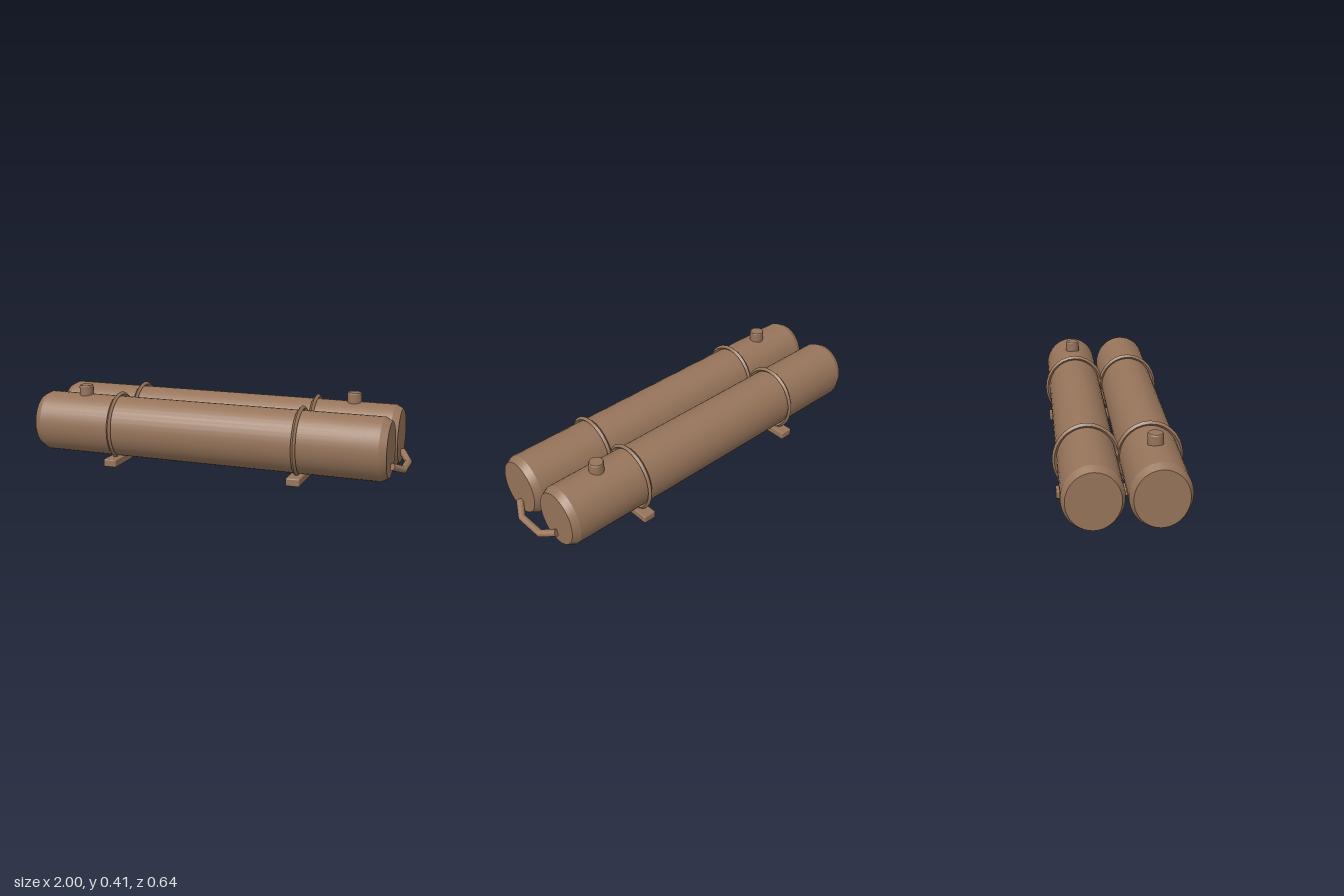
import * as THREE from 'three';
import { toCreasedNormals, mergeGeometries } from 'three/addons/utils/BufferGeometryUtils.js';
import { RoundedBoxGeometry } from 'three/addons/geometries/RoundedBoxGeometry.js';

const brown = new THREE.MeshStandardMaterial({ color: 0x96745a });
brown.name = 'brown paint';

const TANK_Y = 0.195, TANK_Z = 0.153, SQUASH = 0.895; // tanks are slightly narrow ovals
const V = (x, y, z) => new THREE.Vector3(x, y, z);

function add(parent, name, geometry, x = 0, y = 0, z = 0) {
  const mesh = new THREE.Mesh(geometry, brown);
  mesh.name = name;
  mesh.position.set(x, y, z);
  parent.add(mesh);
  return mesh;
}

// Lathe from [radius, height] pairs, listed bottom to top
function lathe(points, segments) {
  const g = new THREE.LatheGeometry(points.map(p => new THREE.Vector2(...p)), segments);
  return toCreasedNormals(g, 0.4);
}

// Round bar along a bent path, with mitred corners and closed ends
function mitredBar(path, radius, sides) {
  const dirs = path.slice(1).map((p, i) => p.clone().sub(path[i]).normalize());
  const side = V(0, 1, 0).cross(dirs[0]).normalize();
  const up = dirs[0].clone().cross(side);
  let ring = [];
  for (let i = 0; i < sides; i++) {
    const a = i / sides * Math.PI * 2;
    ring.push(path[0].clone().addScaledVector(side, radius * Math.cos(a)).addScaledVector(up, radius * Math.sin(a)));
  }
  const pos = [];
  const tri = (...pts) => pts.forEach(p => pos.push(p.x, p.y, p.z));
  ring.forEach((p, i) => tri(path[0], ring[(i + 1) % sides], p));
  dirs.forEach((d, s) => {
    const end = path[s + 1];
    const normal = d.clone().add(dirs[s + 1] || d).normalize();
    const next = ring.map(p => p.clone().addScaledVector(d, end.clone().sub(p).dot(normal) / d.dot(normal)));
    for (let i = 0; i < sides; i++) {
      const j = (i + 1) % sides;
      tri(ring[i], ring[j], next[j]);
      tri(ring[i], next[j], next[i]);
    }
    ring = next;
  });
  const last = path[path.length - 1];
  ring.forEach((p, i) => tri(last, p, ring[(i + 1) % sides]));
  const g = new THREE.BufferGeometry();
  g.setAttribute('position', new THREE.Float32BufferAttribute(pos, 3));
  return toCreasedNormals(g, 0.42);
}

export function createModel() {
  const model = new THREE.Group();
  model.name = 'twinTanks';
  const strapXs = [-0.542, 0.472];

  // Chamfered tank bodies lying along x
  const tankGeo = lathe([[0, -0.965], [0.143, -0.965], [0.163, -0.928], [0.163, 0.928], [0.143, 0.965], [0, 0.965]], 40);
  tankGeo.rotateZ(-Math.PI / 2).scale(1, 1, SQUASH);

  // Strap with a diamond section
  const strapGeo = toCreasedNormals(new THREE.TorusGeometry(0.175, 0.0125, 4, 28), 0.5);
  strapGeo.rotateZ(Math.PI / 2).rotateY(Math.PI / 2).scale(1, 1, SQUASH);

  // Filler cap with a small bevel
  const capGeo = lathe([[0, 0], [0.038, 0], [0.038, 0.062], [0.034, 0.068], [0, 0.068]], 24);

  for (const [label, s, capX] of [['front', 1, -0.747], ['back', -1, 0.674]]) {
    const z = s * TANK_Z;
    add(model, label + 'Tank', tankGeo, -0.035, TANK_Y, z);
    strapXs.forEach((x, i) => add(model, label + 'Strap' + (i + 1), strapGeo, x, TANK_Y, z));
    add(model, label + 'Cap', capGeo, capX, 0.34, z);
  }

  // Cross bars the tanks rest on
  const barGeo = new RoundedBoxGeometry(0.072, 0.042, 0.61, 2, 0.007);
  strapXs.forEach((x, i) => add(model, 'crossBar' + (i + 1), barGeo, x, 0.021, 0));

  // Bent handle joining the two tank ends
  add(model, 'handle', mitredBar([
    V(0.937, 0.11, 0.155), V(0.982, 0.079, 0.076), V(0.982, 0.079, -0.076), V(0.937, 0.11, -0.155),
  ], 0.0185, 16));

  return model;
}
